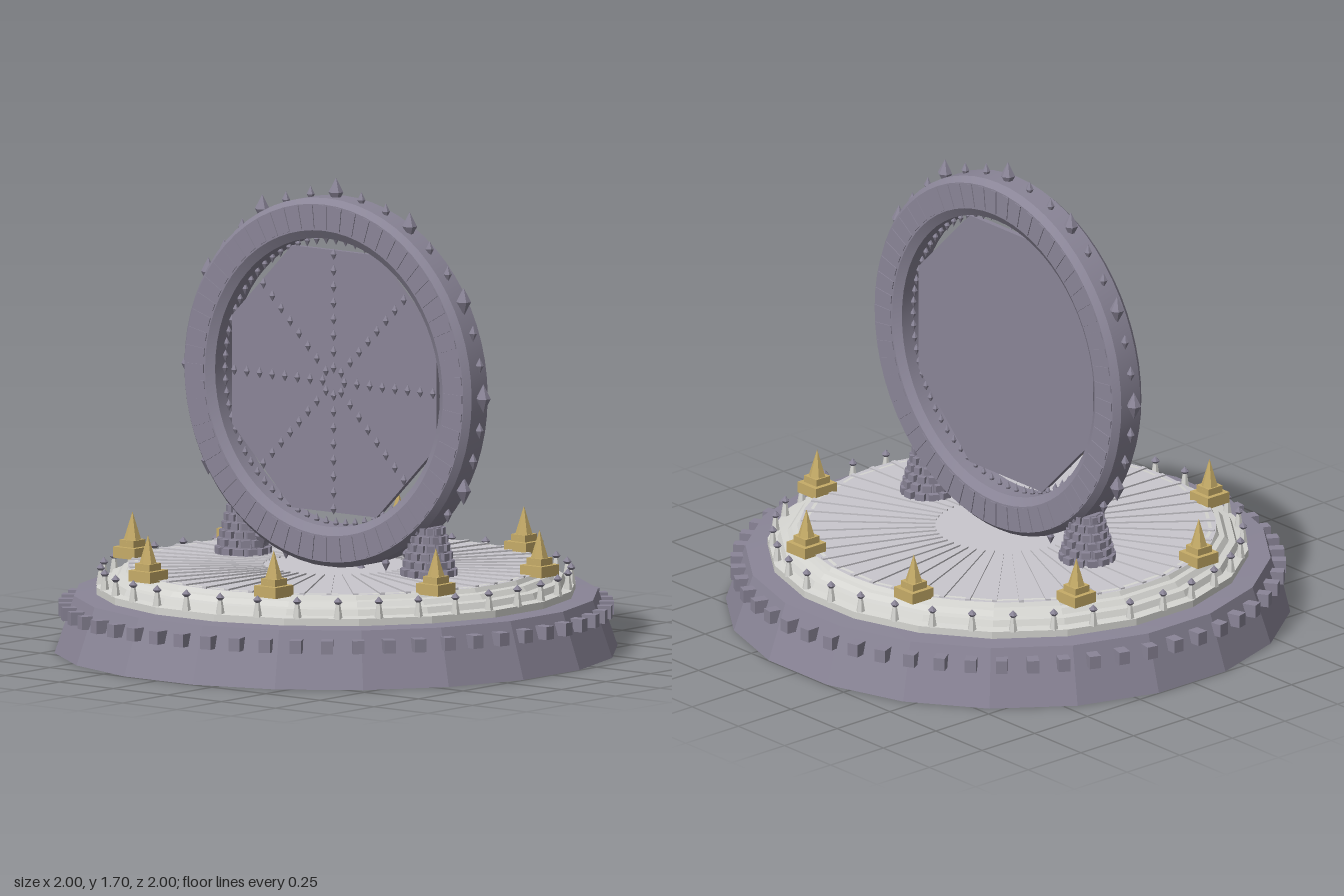
import * as THREE from 'three';
import { toCreasedNormals } from 'three/addons/utils/BufferGeometryUtils.js';

const material = (name, color) => {
  const m = new THREE.MeshStandardMaterial({ color });
  m.name = name;
  return m;
};
const V = (x, y) => new THREE.Vector2(x, y);

export function createModel() {
  const stone = material('purple grey stone', 0x8a8597);
  const pale = material('pale stone', 0xd6d6d2);
  const floorMat = material('floor stone', 0xc9c7cd);
  const gold = material('gold', 0xc6ac68);

  const model = new THREE.Group();
  model.name = 'ringGate';
  const flat = (g) => toCreasedNormals(g, 0.1);
  const add = (parent, name, geo, mat, x = 0, y = 0, z = 0) => {
    const mesh = new THREE.Mesh(geo, mat);
    mesh.name = name;
    mesh.position.set(x, y, z);
    parent.add(mesh);
    return mesh;
  };
  const group = (name, parent = model, x = 0, y = 0, z = 0) => {
    const g = new THREE.Group();
    g.name = name;
    g.position.set(x, y, z);
    parent.add(g);
    return g;
  };
  // Repeat around the vertical axis: angle starts at +x and turns towards +z
  const around = (n, fn, start = 0) => {
    for (let i = 0; i < n; i++) fn(start + (i / n) * Math.PI * 2, i);
  };
  // Upright six-sided double pyramid
  const gem = (r, h) => flat(new THREE.LatheGeometry([V(0, -h), V(r, 0), V(0, h)], 6));

  // Stepped platform, twenty sides
  const lathe20 = (pts) => flat(new THREE.LatheGeometry(pts, 20, Math.PI / 20));
  add(model, 'platformBase', lathe20([V(0, 0), V(1.01, 0), V(0.94, 0.205), V(0.84, 0.21)]), stone);
  add(model, 'platformSteps', lathe20([
    V(0.86, 0.2), V(0.86, 0.235), V(0.825, 0.24), V(0.815, 0.262), V(0.79, 0.266),
    V(0.775, 0.284), V(0.755, 0.287), V(0.745, 0.303), V(0.72, 0.305),
  ]), pale);
  add(model, 'platformFloor', new THREE.CircleGeometry(0.745, 40).rotateX(-Math.PI / 2), floorMat, 0, 0.304, 0);

  // Thin radial ribs on the floor, tapering inwards
  const ribs = group('floorRibs');
  const ribGeo = new THREE.BoxGeometry(0.48, 0.008, 0.018);
  const rp = ribGeo.attributes.position;
  for (let i = 0; i < rp.count; i++) if (rp.getX(i) < 0) rp.setZ(i, rp.getZ(i) * 0.4);
  around(48, (a) => {
    add(ribs, 'floorRib', ribGeo, floorMat, 0.5 * Math.cos(a), 0.306, 0.5 * Math.sin(a)).rotation.y = -a;
  });

  // Blocks around the base wall
  const blocks = group('baseBlocks');
  const blockGeo = new THREE.BoxGeometry(0.06, 0.047, 0.042);
  around(55, (a) => {
    add(blocks, 'baseBlock', blockGeo, stone, 0.962 * Math.cos(a), 0.151, 0.962 * Math.sin(a)).rotation.y = -a;
  });

  // Small posts with dark finials on the lowest step
  const posts = group('rimPosts');
  const postGeo = flat(new THREE.CylinderGeometry(0.007, 0.017, 0.06, 6));
  const finialGeo = gem(0.016, 0.018);
  around(36, (a) => {
    const x = 0.84 * Math.cos(a), z = 0.84 * Math.sin(a);
    add(posts, 'rimPost', postGeo, pale, x, 0.262, z);
    add(posts, 'rimFinial', finialGeo, stone, x, 0.294, z);
  });

  // Eight gold spires
  const plinthGeo = new THREE.BoxGeometry(0.1, 0.04, 0.1);
  const collarGeo = new THREE.BoxGeometry(0.066, 0.03, 0.066);
  const spireGeo = flat(new THREE.ConeGeometry(0.034, 0.11, 6));
  around(8, (a) => {
    const g = group('goldSpire', model, 0.76 * Math.cos(a), 0.3, 0.76 * Math.sin(a));
    add(g, 'spirePlinth', plinthGeo, gold, 0, 0.018, 0);
    add(g, 'spireCollar', collarGeo, gold, 0, 0.048, 0);
    add(g, 'spirePoint', spireGeo, gold, 0, 0.109, 0);
  }, Math.PI / 8);

  // Standing ring
  const gate = group('gate', model, 0, 0.967, 0);
  const ringProfile = [
    V(0.665, -0.045), V(0.665, 0.045), V(0.645, 0.068), V(0.55, 0.068), V(0.52, 0.048),
    V(0.52, -0.048), V(0.55, -0.068), V(0.645, -0.068), V(0.665, -0.045),
  ];
  const ringGeo = toCreasedNormals(new THREE.LatheGeometry(ringProfile, 64), 0.4);
  add(gate, 'ring', ringGeo.rotateX(Math.PI / 2), stone);

  // Radial slats on both ring faces
  const slatGeo = new THREE.BoxGeometry(0.085, 0.03, 0.143);
  around(60, (a) => {
    add(gate, 'ringSlat', slatGeo, stone, 0.598 * Math.cos(a), 0.598 * Math.sin(a), 0).rotation.z = a;
  });

  // Upright gems outside the ring, every third one large
  const largeGem = gem(0.027, 0.052), smallGem = gem(0.015, 0.03);
  around(36, (a, i) => {
    const r = i % 3 ? 0.675 : 0.682;
    add(gate, 'ringGem', i % 3 ? smallGem : largeGem, stone, r * Math.cos(a), r * Math.sin(a), 0);
  });

  // Small points lining the opening
  const toothGeo = gem(0.011, 0.022);
  around(72, (a) => add(gate, 'innerPoint', toothGeo, stone, 0.513 * Math.cos(a), 0.513 * Math.sin(a), 0));

  // Eight-sided panel, studded along eight arms on the front
  const panelGeo = flat(new THREE.CylinderGeometry(0.512, 0.512, 0.02, 8, 1, false, Math.PI / 8));
  add(gate, 'panel', panelGeo.rotateX(Math.PI / 2), stone);
  const studGeo = gem(0.012, 0.021);
  around(8, (a) => {
    for (let i = 0; i < 8; i++) {
      const r = 0.05 + i * 0.0585;
      add(gate, 'panelStud', studGeo, stone, r * Math.cos(a), r * Math.sin(a), 0.013);
    }
  });

  // Two tapering feet of stacked blocks
  const brickGeo = new THREE.BoxGeometry(0.022, 0.024, 0.034);
  const coreGeo = flat(new THREE.CylinderGeometry(0.048, 0.088, 0.185, 12));
  for (const side of [-1, 1]) {
    const foot = group(side > 0 ? 'leftFoot' : 'rightFoot', model, side * 0.43, 0.3, 0);
    add(foot, 'footCore', coreGeo, stone, 0, 0.0925, 0);
    for (let row = 0; row < 6; row++) {
      const r = 0.09 - row * 0.0082;
      around(12, (a) => {
        const brick = add(foot, 'footBrick', brickGeo, stone, r * Math.cos(a), 0.02 + row * 0.03, r * Math.sin(a));
        brick.rotation.y = -a;
        brick.scale.z = r / 0.09;
      }, (row % 2) * Math.PI / 12);
    }
  }
  return model;
}
